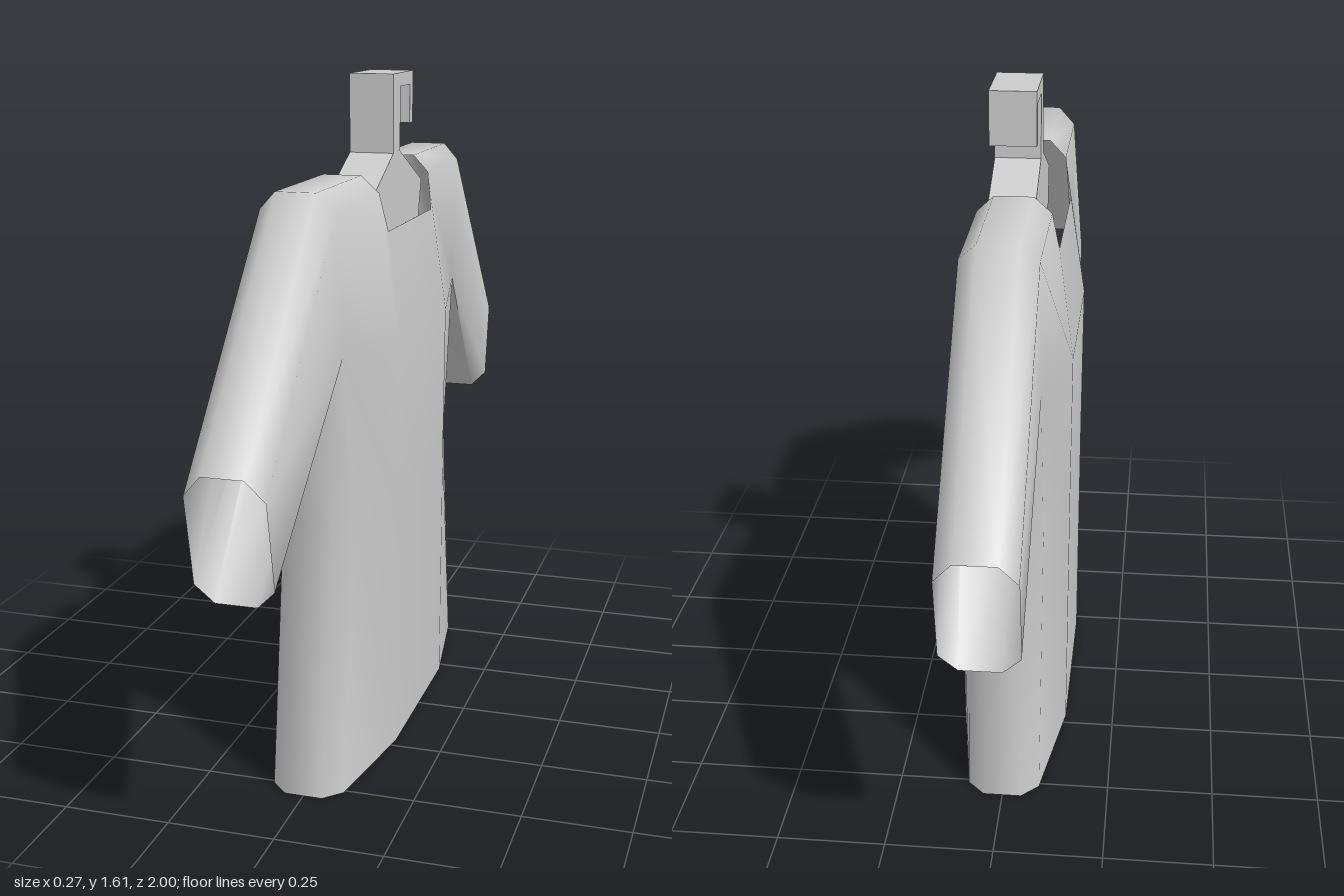
import * as THREE from 'three';
import { mergeVertices, toCreasedNormals } from 'three/addons/utils/BufferGeometryUtils.js';

const RIM = 0.045, INSET = 0.085; // half thickness at the seam and just inside it

function shirtGeometry() {
  // One quarter of the shirt (+x, +z); points are [x, y, z]
  const rows = [
    [[0.13, 0, 0], [0.13, 0, 0.22], [INSET, 0, 0.51], [RIM, 0, 0.55]],
    [[0.133, 0.63, 0], [0.133, 0.63, 0.22], [INSET, 0.63, 0.42], [RIM, 0.63, 0.46]],
    [[0.136, 1, 0], [0.136, 1, 0.22], [INSET, 1.03, 0.5], [RIM, 1, 0.52]],
  ];
  const [chest, chestSide, armpit, armpitRim] = rows[2];
  const neck = [0.1, 1.26, 0], neckCorner = [0.1, 1.26, 0.195];
  const collar = [INSET, 1.35, 0.22], collarRim = [RIM, 1.39, 0.23];
  const shoulder = [INSET, 1.35, 0.54], shoulderRim = [RIM, 1.39, 0.555];
  const cuffTop = [INSET, 0.855, 0.99], cuffTopRim = [RIM, 0.9, 1];
  const cuffLow = [INSET, 0.66, 0.95], cuffLowRim = [RIM, 0.62, 0.94];

  const faces = [
    [chest, neck, neckCorner, chestSide],
    [chestSide, neckCorner, collar],
    [chestSide, collar, shoulder, armpit],
    [armpit, shoulder, cuffTop, cuffLow],
    [collar, collarRim, shoulderRim, shoulder],
    [shoulder, shoulderRim, cuffTopRim, cuffTop],
    [armpitRim, armpit, cuffLow, cuffLowRim],
  ];
  // Seam edges that are bridged from front panel to back panel
  const seams = [[shoulderRim, collarRim], [cuffTopRim, shoulderRim], [armpitRim, cuffLowRim]];
  for (let j = 0; j < 2; j++) {
    for (let k = 0; k < 3; k++) {
      faces.push([rows[j][k], rows[j + 1][k], rows[j + 1][k + 1], rows[j][k + 1]]);
    }
    seams.push([rows[j][3], rows[j + 1][3]]);
  }

  // Mirror the quarter to all four sides
  const positions = [];
  const add = (face, sx, sz) => {
    const pts = face.map(([x, y, z]) => [x * sx, y, z * sz]);
    if (sx * sz < 0) pts.reverse();
    for (let i = 1; i < pts.length - 1; i++) positions.push(...pts[0], ...pts[i], ...pts[i + 1]);
  };
  const flip = ([x, y, z]) => [-x, y, z];
  for (const sz of [1, -1]) {
    for (const sx of [1, -1]) faces.forEach((f) => add(f, sx, sz));
    seams.forEach(([a, b]) => add([a, b, flip(b), flip(a)], 1, sz));
  }
  const geometry = new THREE.BufferGeometry();
  geometry.setAttribute('position', new THREE.Float32BufferAttribute(positions, 3));
  return toCreasedNormals(mergeVertices(geometry), 1.1);
}

function hangerGeometry() {
  // Side outline (z, y): shoulders, stem and square hook
  const outline = [
    [0.19, 1.24], [0.215, 1.33], [0.027, 1.42], [0.027, 1.605], [-0.148, 1.605],
    [-0.148, 1.48], [-0.12, 1.48], [-0.12, 1.573], [-0.033, 1.573], [-0.033, 1.42],
    [-0.235, 1.33], [-0.21, 1.24],
  ];
  const shape = new THREE.Shape(outline.map(([z, y]) => new THREE.Vector2(z, y)));
  return new THREE.ExtrudeGeometry(shape, { depth: 0.108, bevelEnabled: false })
    .rotateY(-Math.PI / 2)
    .translate(0.064, 0, 0);
}

export function createModel() {
  const model = new THREE.Group();
  model.name = 'shirtOnHanger';

  // Open cloth shell: hem, cuffs and neck are holes
  const shirt = new THREE.Mesh(
    shirtGeometry(),
    new THREE.MeshStandardMaterial({ color: 0xcccccc, side: THREE.DoubleSide })
  );
  shirt.name = 'shirt';

  const hanger = new THREE.Mesh(
    hangerGeometry(),
    new THREE.MeshStandardMaterial({ color: 0xcccccc })
  );
  hanger.name = 'hanger';

  model.add(shirt, hanger);
  return model;
}
